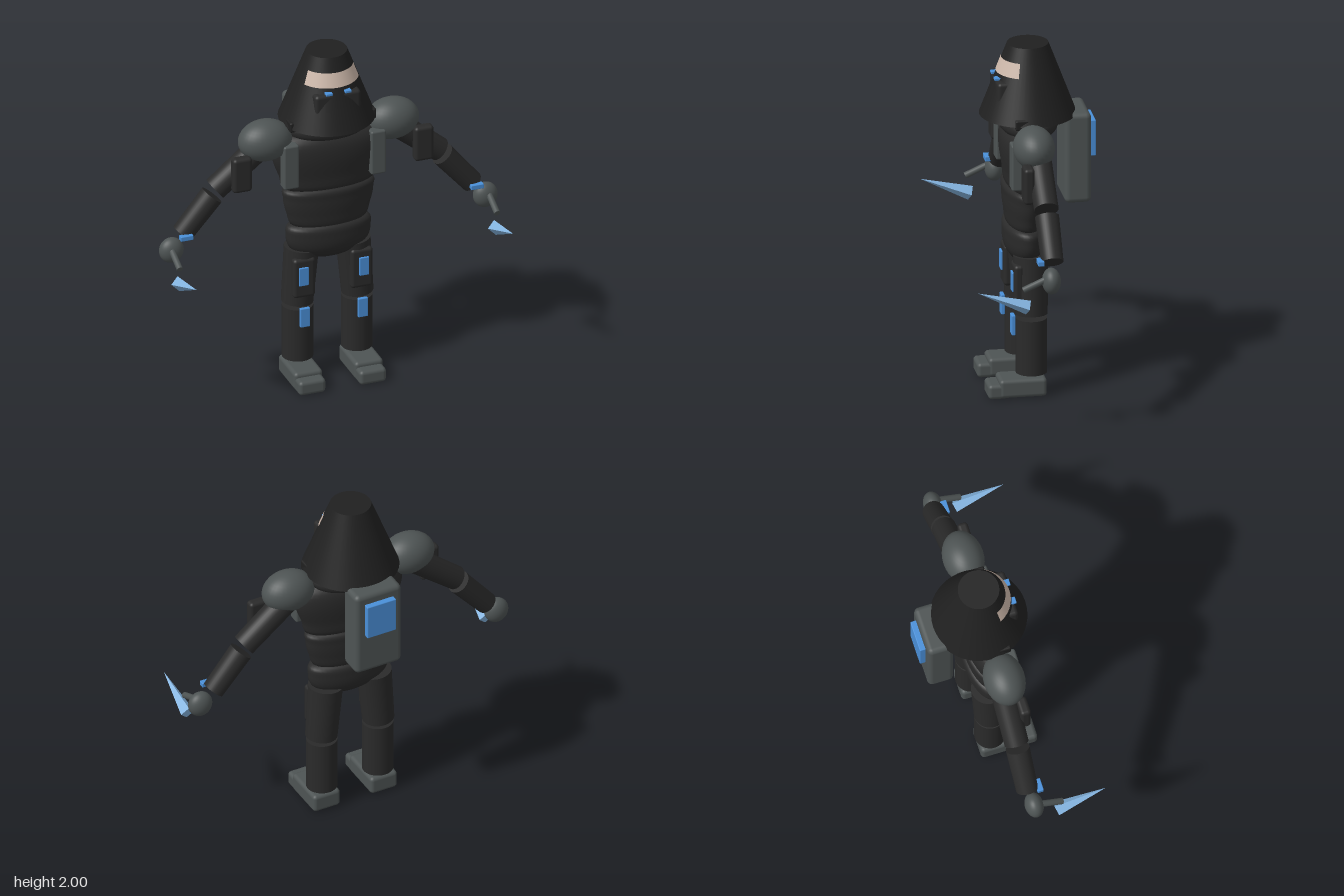
import * as THREE from 'three';
import { RoundedBoxGeometry } from 'three/addons/geometries/RoundedBoxGeometry.js';

const mat = (name, color, extra = {}) => {
  const m = new THREE.MeshStandardMaterial({ color, ...extra });
  m.name = name;
  return m;
};

export function createModel() {
  const cloth = mat('black cloth', 0x2a2a2a);
  const hoodCloth = mat('hood black', 0x202020);
  const armor = mat('grey armor', 0x4e5454);
  const blue = mat('blue accent', 0x4a90d9);
  const steel = mat('pale blue blade', 0x84b4e0, { flatShading: true });
  const skin = mat('skin', 0xcdb8aa);

  const model = new THREE.Group();
  model.name = 'hoodedFighter';

  const add = (parent, name, geometry, material, x = 0, y = 0, z = 0) => {
    const mesh = new THREE.Mesh(geometry, material);
    mesh.name = name;
    mesh.position.set(x, y, z);
    parent.add(mesh);
    return mesh;
  };
  // Rounded box given by its limits on each axis
  const block = (parent, name, material, [x0, x1], [y0, y1], [z0, z1], r = 0.015) =>
    add(parent, name, new RoundedBoxGeometry(x1 - x0, y1 - y0, z1 - z0, 3, r), material,
      (x0 + x1) / 2, (y0 + y1) / 2, (z0 + z1) / 2);
  // Cylinder or cone running from point a to point b
  const rod = (parent, name, material, a, b, ra, rb, sides = 32) => {
    const from = new THREE.Vector3(...a), to = new THREE.Vector3(...b);
    const dir = to.clone().sub(from);
    const mid = from.add(to).multiplyScalar(0.5);
    const mesh = add(parent, name, new THREE.CylinderGeometry(rb, ra, dir.length(), sides), material, mid.x, mid.y, mid.z);
    mesh.quaternion.setFromUnitVectors(new THREE.Vector3(0, 1, 0), dir.normalize());
    return mesh;
  };
  const ellipsoid = (parent, name, material, [x, y, z], [rx, ry, rz]) => {
    const mesh = add(parent, name, new THREE.SphereGeometry(1, 32, 20), material, x, y, z);
    mesh.scale.set(rx, ry, rz);
    return mesh;
  };
  // Smooth body section turned from a profile and flattened front to back
  const section = (name, points, depth) => {
    const curve = new THREE.SplineCurve(points.map(([r, y]) => new THREE.Vector2(r, y)));
    const pts = curve.getPoints(24);
    pts.forEach(p => { p.x = Math.max(p.x, 0); });
    const mesh = add(model, name, new THREE.LatheGeometry(pts, 40), cloth, 0, 0, -0.015);
    mesh.scale.z = depth;
  };

  // Torso
  section('pelvis', [[0, 0.73], [0.13, 0.75], [0.225, 0.81], [0.248, 0.89], [0.22, 0.955], [0, 0.975]], 0.46);
  section('belly', [[0, 0.93], [0.2, 0.945], [0.245, 1.03], [0.263, 1.12], [0.245, 1.185], [0, 1.2]], 0.44);
  section('chest', [[0, 1.17], [0.245, 1.18], [0.29, 1.27], [0.33, 1.39], [0.31, 1.48], [0.2, 1.53], [0, 1.53]], 0.39);
  const collar = add(model, 'collar', new THREE.TorusGeometry(0.2, 0.05, 16, 40), cloth, 0, 1.55, -0.04);
  collar.rotation.x = Math.PI / 2;
  collar.scale.y = 0.66;

  // Hood, face opening, mask and eyes
  const hoodRadius = y => 0.115 + (2 - y) * 0.378;
  add(model, 'hood', new THREE.CylinderGeometry(0.115, 0.27, 0.41, 48), hoodCloth, 0, 1.795, -0.04);
  add(model, 'face', new THREE.CylinderGeometry(hoodRadius(1.922) + 0.004, hoodRadius(1.843) + 0.004, 0.079, 32, 1, true, -1.12, 2.24),
    skin, 0, 1.8825, -0.04);
  block(model, 'mask', cloth, [-0.135, 0.135], [1.69, 1.81], [0.03, 0.15], 0.02);
  block(model, 'neckFill', cloth, [-0.2, 0.2], [1.5, 1.59], [-0.12, 0.05], 0.03);

  // Backpack
  block(model, 'backpack', armor, [-0.145, 0.145], [1.085, 1.61], [-0.375, -0.225], 0.03);
  block(model, 'backpackPanel', blue, [-0.09, 0.09], [1.34, 1.55], [-0.408, -0.37], 0.005);

  // Paired parts, built on the left side and mirrored by sign
  for (const s of [1, -1]) {
    const side = new THREE.Group();
    side.name = s > 0 ? 'leftSide' : 'rightSide';
    model.add(side);
    const X = (a, b) => (s > 0 ? [a, b] : [-b, -a]);

    block(side, 'eye', blue, X(0.036, 0.075), [1.808, 1.824], [0.12, 0.158], 0.004);
    block(side, 'collarClasp', hoodCloth, X(0.215, 0.255), [1.57, 1.63], [-0.02, 0.07], 0.01);
    block(side, 'chestPlate', armor, X(0.212, 0.302), [1.235, 1.503], [0.03, 0.1], 0.012);

    // Arm
    ellipsoid(side, 'shoulder', armor, [s * 0.375, 1.515, -0.01], [0.155, 0.12, 0.115]);
    rod(side, 'upperArm', cloth, [s * 0.38, 1.482, -0.03], [s * 0.663, 1.253, -0.03], 0.072, 0.068);
    rod(side, 'forearm', cloth, [s * 0.681, 1.218, -0.03], [s * 0.855, 1.013, -0.03], 0.067, 0.062);
    block(side, 'armPlate', cloth, X(0.48, 0.592), [1.255, 1.465], [0.02, 0.08], 0.02);
    block(side, 'wristLight', blue, X(0.82, 0.895), [1.005, 1.033], [0.02, 0.055], 0.004);
    ellipsoid(side, 'hand', armor, [s * 0.927, 0.93, -0.012], [0.071, 0.075, 0.052]);

    // Dagger
    rod(side, 'daggerHandle', armor, [s * 0.937, 0.945, 0.02], [s * 0.937, 0.888, 0.148], 0.018, 0.018, 16);
    rod(side, 'daggerBlade', steel, [s * 0.935, 0.785, 0.118], [s * 0.935, 0.885, 0.4], 0.042, 0, 4);

    // Leg
    rod(side, 'thigh', cloth, [s * 0.178, 0.47, -0.03], [s * 0.152, 0.805, -0.03], 0.09, 0.098);
    rod(side, 'shin', cloth, [s * 0.175, 0.128, -0.03], [s * 0.175, 0.447, -0.03], 0.088, 0.088);
    block(side, 'thighPlate', cloth, X(0.105, 0.235), [0.53, 0.77], [0.02, 0.074], 0.02);
    block(side, 'thighLight', blue, X(0.15, 0.207), [0.61, 0.722], [0.06, 0.084], 0.005);
    block(side, 'kneeLight', blue, X(0.142, 0.2), [0.352, 0.468], [0.062, 0.084], 0.005);
    block(side, 'foot', armor, X(0.095, 0.263), [0.005, 0.112], [-0.105, 0.16], 0.022);
    block(side, 'toe', armor, X(0.1, 0.258), [0, 0.085], [0.11, 0.223], 0.022);
  }
  return model;
}
